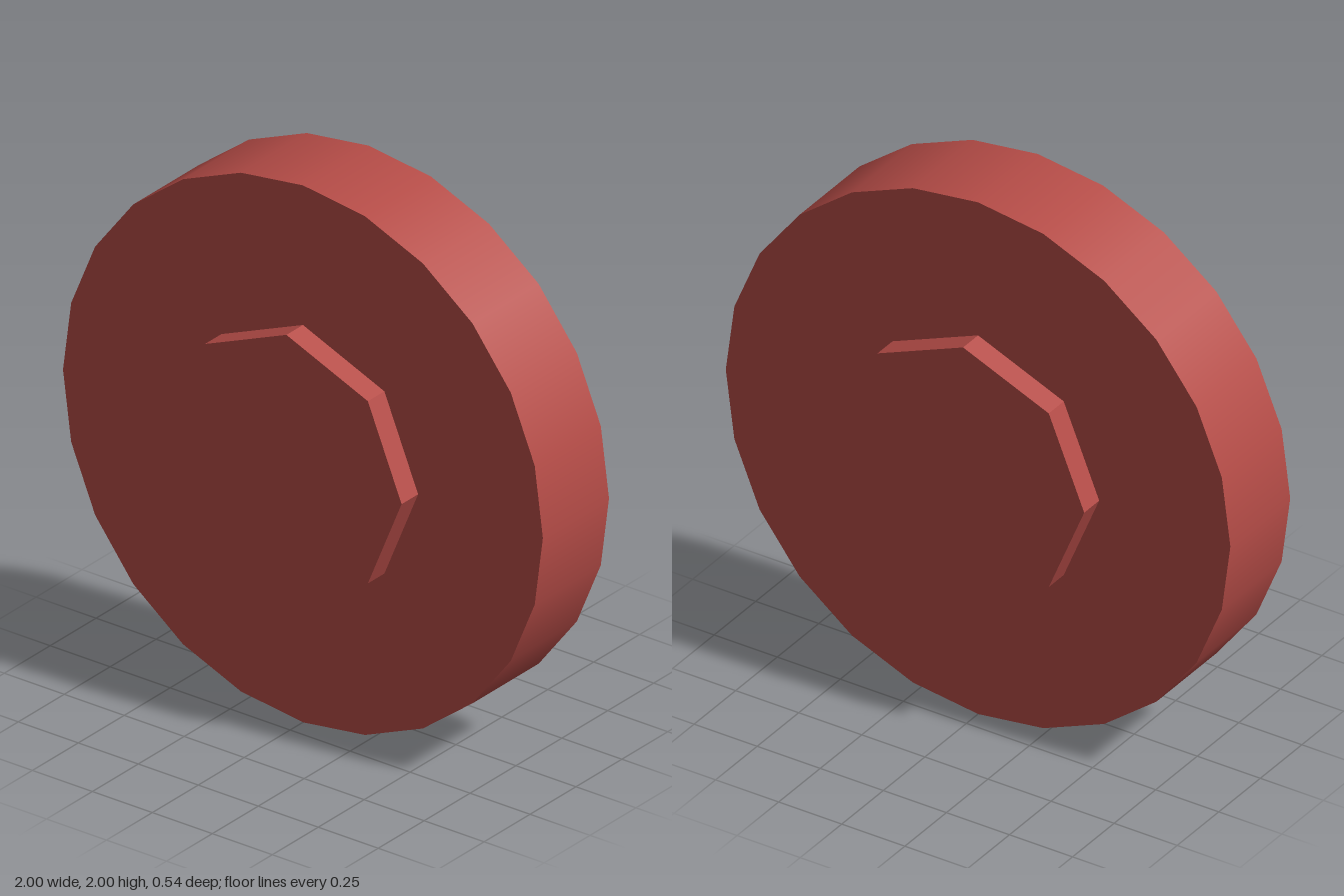
import * as THREE from 'three';

// Cylinder lying along z, centred one unit above the ground
function disc(name, radius, depth, sides, faceted, material) {
  let geometry = new THREE.CylinderGeometry(radius, radius, depth, sides);
  geometry.rotateX(Math.PI / 2);
  if (faceted) {
    geometry = geometry.toNonIndexed();
    geometry.computeVertexNormals();
  }
  const mesh = new THREE.Mesh(geometry, material);
  mesh.name = name;
  mesh.position.y = 1;
  return mesh;
}

export function createModel() {
  const red = new THREE.MeshStandardMaterial({ color: 0xb54c47 });
  red.name = 'brick red';

  const model = new THREE.Group();
  model.name = 'wheel';
  // Smooth-rimmed wheel disc
  model.add(disc('wheelDisc', 1, 0.36, 24, false, red));
  // Faceted octagonal hub standing proud on both faces
  model.add(disc('hub', 0.48, 0.54, 8, true, red));
  return model;
}
